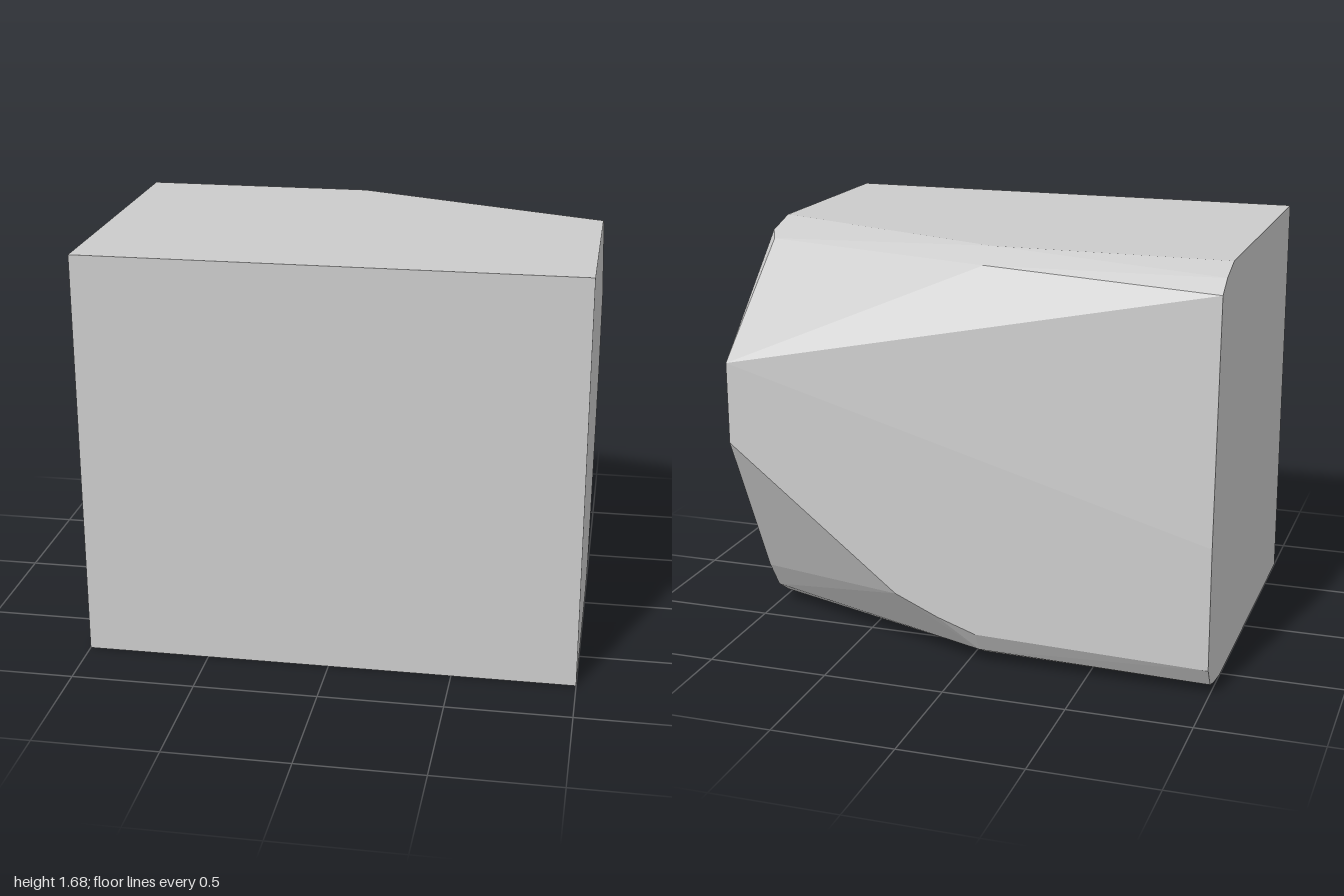
import * as THREE from 'three';
import { ConvexGeometry } from 'three/addons/geometries/ConvexGeometry.js';

const HEIGHT = 1.68, FRONT = 0.75, BACK = -0.75;

// Each section lists [z, y] points of the block's outline at one x.
const sections = [
  // right end: small bevels along the back edges
  { x: -1, outline: [
    [FRONT, 0], [FRONT, HEIGHT],
    [-0.51, HEIGHT], [-0.63, 1.64], [-0.705, 1.59],
    [BACK, 0.62], [BACK, 0.12], [-0.7, 0.04], [-0.63, 0.02], [-0.51, 0],
  ] },
  // middle: where the bevels begin to widen
  { x: -0.05, outline: [
    [-0.51, HEIGHT], [-0.62, 1.625],
    [BACK, 0.145], [-0.7, 0.06], [-0.63, 0.022], [-0.51, 0],
  ] },
  // curved rim of the lower corner cut on the back face
  { x: 0.11, outline: [[BACK, 0.2]] },
  { x: 0.29, outline: [[BACK, 0.28]] },
  // upper corner cut
  { x: 0.96, outline: [[-0.34, 1.62]] },
  // left end: large corner cuts
  { x: 1, outline: [
    [FRONT, 0], [FRONT, HEIGHT],
    [-0.12, HEIGHT], [-0.26, 1.64], [BACK, 1.185],
    [BACK, 0.85], [-0.43, 0.2], [-0.35, 0.08], [-0.26, 0.02], [-0.12, 0],
  ] },
];

export function createModel() {
  const group = new THREE.Group();
  group.name = 'chamferedBlock';

  const points = sections.flatMap(({ x, outline }) =>
    outline.map(([z, y]) => new THREE.Vector3(x, y, z)));

  // Solid body spanning all sections
  const body = new THREE.Mesh(
    new ConvexGeometry(points),
    new THREE.MeshStandardMaterial({ color: 0xcccccc, flatShading: true }),
  );
  body.name = 'body';
  group.add(body);
  return group;
}
